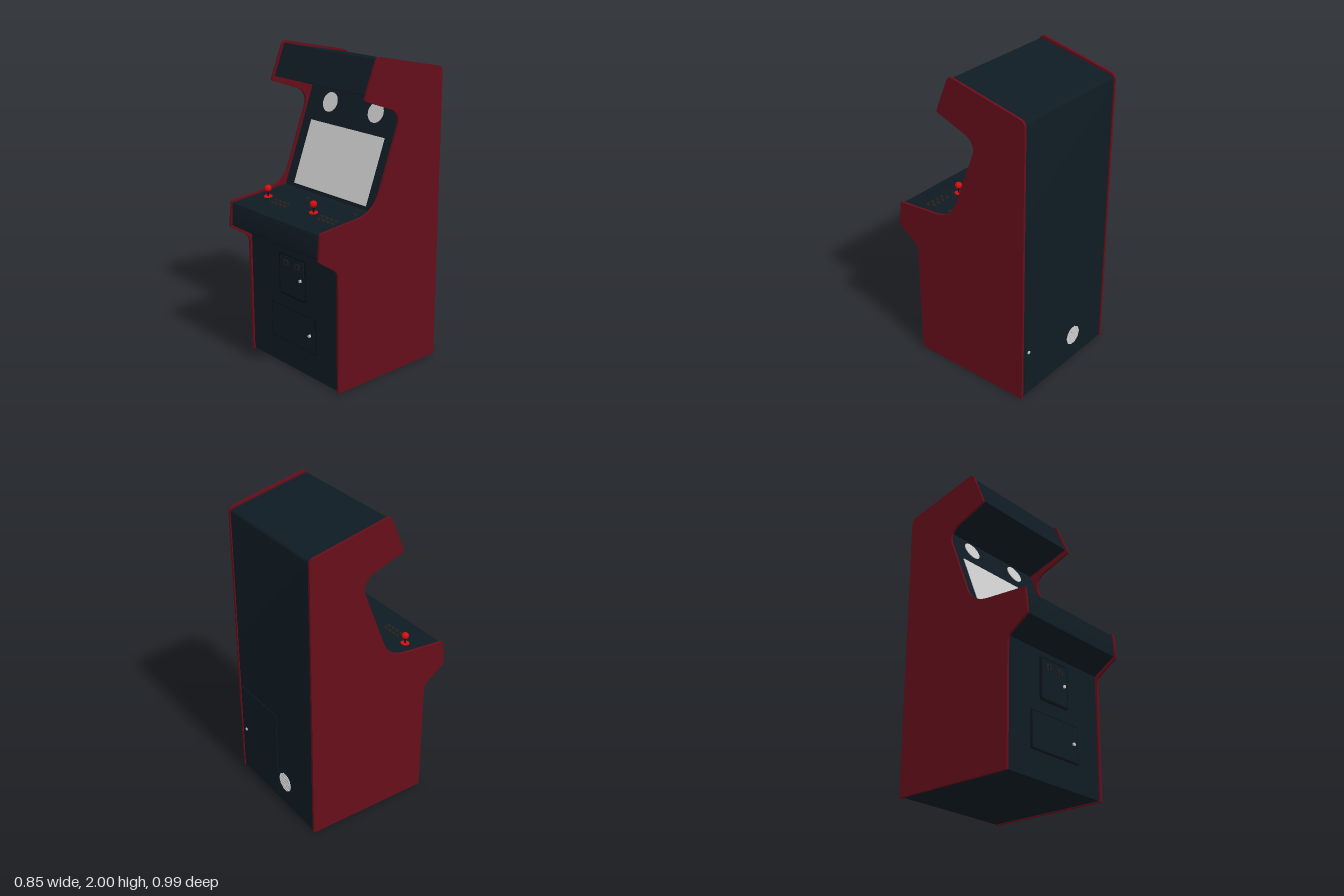
import * as THREE from 'three';
import { toCreasedNormals } from 'three/addons/utils/BufferGeometryUtils.js';

const paint = (color) => new THREE.MeshStandardMaterial({ color });
const GREY = paint(0xcccccc), NAVY = paint(0x0f1b23), MAROON = paint(0x650e1a);
const DARK = paint(0x0a1015), RED = paint(0xd80c0c), BUTTON = paint(0x24221f);

function add(parent, name, geometry, material, x = 0, y = 0, z = 0) {
  const mesh = new THREE.Mesh(geometry, material);
  mesh.name = name;
  mesh.position.set(x, y, z);
  parent.add(mesh);
  return mesh;
}

// Closed outline from [x, y, cornerRadius] points
function outline(points) {
  const shape = new THREE.Shape();
  const n = points.length;
  points.forEach(([x, y, r = 0], i) => {
    const p = new THREE.Vector2(x, y);
    const toward = (q) => {
      const d = new THREE.Vector2(q[0] - x, q[1] - y);
      return p.clone().add(d.setLength(r));
    };
    const a = toward(points[(i + n - 1) % n]), b = toward(points[(i + 1) % n]);
    if (i === 0) shape.moveTo(a.x, a.y);
    else shape.lineTo(a.x, a.y);
    if (r > 0) shape.quadraticCurveTo(x, y, b.x, b.y);
  });
  shape.closePath();
  return shape;
}

// Profile drawn in (z, y), extruded across x and centred
function acrossX(points, width) {
  const geometry = new THREE.ExtrudeGeometry(outline(points), { depth: width, bevelEnabled: false, curveSegments: 10 });
  geometry.translate(0, 0, -width / 2).rotateY(-Math.PI / 2);
  return toCreasedNormals(geometry, 0.5);
}

// Rounded rectangular plate lying in xy, thick along +z
function plate(w, h, depth, r, bevel = 0) {
  const x = w / 2 - bevel, y = h / 2 - bevel;
  const shape = outline([[-x, -y, r], [x, -y, r], [x, y, r], [-x, y, r]]);
  return new THREE.ExtrudeGeometry(shape, {
    depth, bevelEnabled: bevel > 0, bevelSize: bevel, bevelThickness: bevel, bevelSegments: 2, curveSegments: 6,
  });
}

// Disc facing +z
const disc = (r, depth, segments = 32) => new THREE.CylinderGeometry(r, r, depth, segments).rotateX(Math.PI / 2);

function lockKnob(parent, x, y, z) {
  add(parent, 'lock', disc(0.01, 0.014, 16), GREY, x, y, z);
}

// Perforated round grille
function grille(radius) {
  const shape = new THREE.Shape().absarc(0, 0, radius, 0, Math.PI * 2);
  const step = 0.0125;
  for (let row = -6; row <= 6; row++) {
    for (let col = -6; col <= 6; col++) {
      const x = (col + (row & 1) / 2) * step, y = row * step * 0.87;
      if (Math.hypot(x, y) > radius - 0.007) continue;
      shape.holes.push(new THREE.Path().absarc(x, y, 0.0042, 0, Math.PI * 2, true));
    }
  }
  return new THREE.ExtrudeGeometry(shape, { depth: 0.004, bevelEnabled: false, curveSegments: 5 });
}

export function createModel() {
  const model = new THREE.Group();
  model.name = 'arcadeCabinet';

  // Side panels
  const sideGeometry = acrossX([
    [0.342, 0], [0.347, 0.785, 0.035], [0.497, 0.885, 0.012], [0.48, 1.052, 0.012],
    [0.062, 1.088, 0.13], [-0.152, 1.655, 0.1], [0.148, 1.764, 0.014],
    [0.05, 2.005, 0.028], [-0.492, 1.888, 0.035], [-0.492, 0],
  ], 0.016);
  for (const s of [-1, 1]) add(model, s > 0 ? 'leftSidePanel' : 'rightSidePanel', sideGeometry, MAROON, s * 0.418);

  // Cabinet body between the side panels
  add(model, 'body', acrossX([
    [0.33, 0.006], [0.333, 0.8], [0.482, 0.893], [0.478, 1.04, 0.006], [0.05, 1.078],
    [-0.184, 1.695], [0.125, 1.79], [0.045, 1.986], [-0.486, 1.875, 0.02], [-0.486, 0.006],
  ], 0.822), NAVY);

  // Sloped display area: local origin at its lower edge
  const slope = Math.atan2(0.234, 0.617);
  const display = new THREE.Group();
  display.name = 'displayPanel';
  display.position.set(0, 1.078, 0.05);
  display.rotation.x = -slope;
  model.add(display);
  const alongSlope = (y) => (y - 1.078) / Math.cos(slope);
  const low = alongSlope(1.1), high = alongSlope(1.492);
  add(display, 'screen', new THREE.BoxGeometry(0.664, high - low, 0.006), GREY, 0, (low + high) / 2, 0.001);
  for (const s of [-1, 1]) add(display, 'speaker', disc(0.063, 0.006, 40), GREY, s * 0.205, alongSlope(1.618), 0.001);

  // Control deck
  const tilt = Math.atan2(0.038, 0.428);
  const deckY = (z) => 1.04 + (0.478 - z) * Math.tan(tilt);
  const buttonGeometry = new THREE.CylinderGeometry(0.0105, 0.0125, 0.012, 20);
  const button = (parent, name, x, z) => {
    add(parent, name, buttonGeometry, BUTTON, x, deckY(z) + 0.003, z).rotation.x = tilt;
  };
  [-0.315, 0.12].forEach((x, player) => {
    const controls = new THREE.Group();
    controls.name = `playerControls${player + 1}`;
    model.add(controls);
    const z = 0.27, y = deckY(z);
    add(controls, 'joystickBase', new THREE.CylinderGeometry(0.027, 0.028, 0.006, 32), RED, x, y + 0.002, z).rotation.x = tilt;
    add(controls, 'joystickShaft', new THREE.CylinderGeometry(0.005, 0.005, 0.055, 12), DARK, x, y + 0.026, z);
    add(controls, 'joystickBall', new THREE.SphereGeometry(0.022, 24, 16), RED, x, 1.113, z);
    for (let i = 0; i < 4; i++) {
      button(controls, 'actionButton', x + 0.093 + i * 0.04, 0.284);
      button(controls, 'actionButton', x + 0.106 + i * 0.04, 0.322);
    }
    button(controls, 'startButton', x + 0.225, 0.14);
  });

  // Coin door with two coin slots
  const coinDoor = new THREE.Group();
  coinDoor.name = 'coinDoor';
  coinDoor.position.set(-0.002, 0.627, 0.331);
  model.add(coinDoor);
  add(coinDoor, 'coinDoorFrame', plate(0.255, 0.275, 0.006, 0.02, 0.003), DARK);
  add(coinDoor, 'coinDoorPanel', plate(0.228, 0.248, 0.005, 0.012), NAVY, 0, 0, 0.008);
  for (const x of [-0.053, 0.053]) {
    add(coinDoor, 'coinPlate', plate(0.042, 0.036, 0.006, 0.006), BUTTON, x, 0.083, 0.011);
    add(coinDoor, 'coinSlot', new THREE.BoxGeometry(0.005, 0.024, 0.003), DARK, x, 0.083, 0.0175);
  }
  lockKnob(coinDoor, 0.084, 0, 0.016);

  // Cash box door
  const cashDoor = new THREE.Group();
  cashDoor.name = 'cashDoor';
  cashDoor.position.set(0, 0.292, 0.33);
  model.add(cashDoor);
  add(cashDoor, 'cashDoorFrame', plate(0.425, 0.236, 0.006, 0.004, 0.002), DARK);
  add(cashDoor, 'cashDoorPanel', plate(0.408, 0.219, 0.005, 0.004), NAVY, 0, 0, 0.006);
  lockKnob(cashDoor, 0.163, -0.002, 0.015);

  // Rear service door and vent
  add(model, 'rearDoor', new THREE.BoxGeometry(0.405, 0.62, 0.006), NAVY, 0.188, 0.34, -0.487);
  lockKnob(model, 0.36, 0.325, -0.489);
  add(model, 'ventBacking', disc(0.064, 0.003), DARK, -0.1, 0.185, -0.4865);
  add(model, 'ventGrille', grille(0.065), GREY, -0.1, 0.185, -0.4885).rotation.y = Math.PI;

  return model;
}
